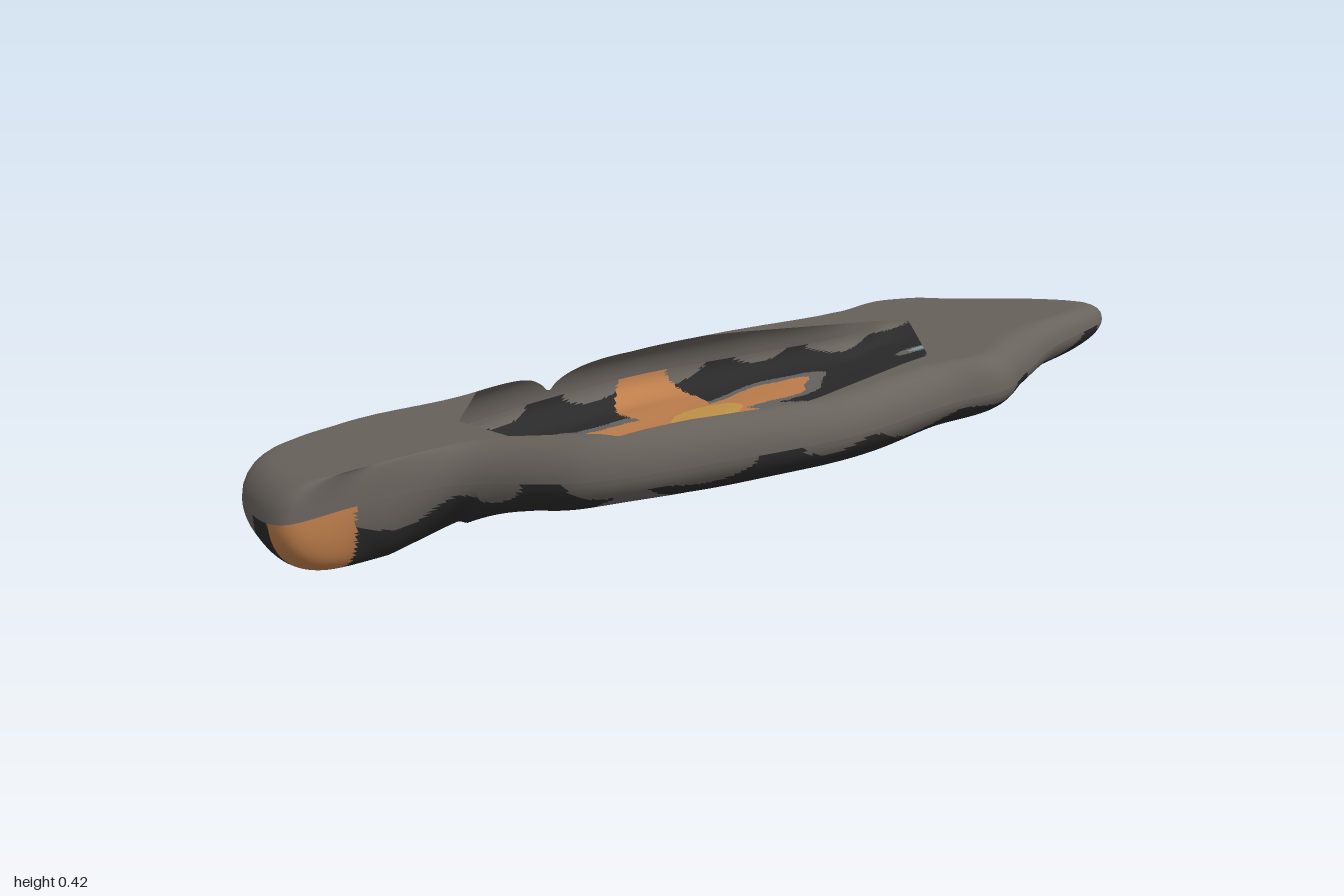
import * as THREE from 'three';

const COLORS = {
  stoneGrey: 0x69635d, black: 0x2a2a2a, haloGrey: 0x666462, petalOrange: 0xbf7f4c, gold: 0xc4964a,
  leafGreen: 0x265c48, lemon: 0xc0aa50, paleBlue: 0x7b9cab, deepBlue: 0x2a4876,
};

// plan outline (x, z), clockwise seen from above, starting at the -x end
const OUTLINE = [
  [-1, -.1], [-.94, -.34], [-.74, -.44], [-.52, -.41], [-.25, -.49], [.05, -.53], [.33, -.46], [.56, -.41],
  [.74, -.5], [.82, -.47], [.87, -.35], [.97, -.15], [1, .02], [.95, .1], [.72, .23], [.54, .38],
  [.42, .475], [.3, .47], [.03, .52], [-.22, .46], [-.45, .36], [-.65, .115], [-.83, .09], [-.97, .1],
];
// angular opening in the upper shell
const HOLE = [
  [-.2, -.5], [.16, -.455], [.545, -.1], [.325, .33], [-.035, .455],
  [-.385, .355], [-.53, .145], [-.55, -.11], [-.42, -.375],
];
// shell thickness above and below the tilted mid plane, from x = -1 to 1
const TOP = [.075, .075, .08, .085, .075, .08, .075, .055, .04];
const BOTTOM = [.135, .135, .075, .065, .065, .06, .05, .055, .05];

const AROUND = 480;
const along = (table, x) => {
  const f = THREE.MathUtils.clamp((x + 1) * 4, 0, 7.999), i = Math.floor(f);
  return THREE.MathUtils.lerp(table[i], table[i + 1], f - i);
};
const midY = (x, z) => .27 + .115 * x + .1 * z;
const round = (d, r) => Math.sqrt(1 - (1 - Math.min(d / r, 1)) ** 2);
const ripple = (x, z) => .003 * Math.sin(17 * x + 5 * z) * Math.sin(19 * z - 4 * x);

// painted areas; earlier ones lie on top of later ones
const paint = [];
function spot(part, color, cx, cz, rx, rz, turn = 0, halo = 0, wavy = 0) {
  const c = Math.cos(turn), s = Math.sin(turn);
  // approximate signed distance to an ellipse, optionally with a scalloped edge
  const distance = (x, z) => {
    const u = ((x - cx) * c + (z - cz) * s) / rx, v = ((z - cz) * c - (x - cx) * s) / rz;
    const rim = 1 + wavy * Math.cos(5 * Math.atan2(v, u));
    return (Math.hypot(u, v) - rim) * Math.min(rx, rz);
  };
  paint.push({ part, color, distance, halo });
}

// large flower
spot('flowerCentre', 'gold', .08, -.215, .085, .075);
const petal = (...place) => spot('flowerPetals', 'petalOrange', ...place);
petal(.05, -.4, .1, .16);
petal(.24, -.255, .14, .085, -.25, .03, .1);
petal(-.1, -.215, .18, .105, .05, .045, .1);
petal(.11, -.04, .1, .16, -.1, .048, .12);

// spots on the -x lobe and beside the flower
spot('endSpot', 'petalOrange', -.92, .085, .09, .06);
spot('blueSpot', 'deepBlue', -.87, -.27, .11, .1);
const pale = (...place) => spot('paleBlueSpots', 'paleBlue', ...place);
pale(-.76, -.31, .09, .09, 0, .01);
pale(-.84, -.08, .06, .05, 0, .03);
pale(-.23, -.09, .07, .045, .2, .03);
pale(-.25, -.33, .025, .025, 0, .035);
pale(-.44, -.215, .05, .04, 0, .005);
pale(-.43, -.105, .075, .05, .2, .012);
const grey = (...place) => spot('haloGreySpots', 'haloGrey', ...place);
grey(-.44, -.34, .05, .035);
grey(-.5, -.03, .05, .06);
grey(-.53, .085, .035, .035);

// leaves and buds
const leaf = (...place) => spot('leaves', 'leafGreen', ...place);
leaf(-.26, .165, .1, .045, .15);
leaf(-.09, .315, .035, .085, -.15);
leaf(.55, .08, .1, .055, -.7);
spot('yellowBud', 'lemon', -.25, .275, .115, .055, -.55, .035, .08);
spot('goldBud', 'gold', .39, .25, .06, .11, .45, .02);

// row of small petals near the +x end
for (let i = 0; i < 5; i++) pale(.86 - i * .035, .01 - i * .08, .045, .015, -.3, .014);

function paintAt(x, z, edge, a) {
  const hit = paint.find((p) => p.distance(x, z) < 0);
  if (hit) return [hit.part, hit.color];
  const wave = .008 + .008 * Math.sin(a * 9) + .007 * Math.sin(a * 23 + 1);
  if (edge < wave) return ['rimEdge', 'stoneGrey'];
  if (paint.some((p) => p.halo && p.distance(x, z) < p.halo)) return ['haloGreySpots', 'haloGrey'];
  return ['lowerShell', 'black'];
}

// where a ray from the middle towards p meets the opening
function holePoint(p) {
  const cz = -.03;
  let best = [0, cz];
  HOLE.forEach(([ax, az], i) => {
    const [bx, bz] = HOLE[(i + 1) % HOLE.length], ex = bx - ax, ez = bz - az;
    const dx = p.x, dz = p.z - cz, det = dx * ez - dz * ex;
    const t = (ax * ez - (az - cz) * ex) / det, u = (ax * dz - (az - cz) * dx) / det;
    if (t > 0 && u >= -1e-6 && u <= 1 + 1e-6) best = [dx * t, cz + dz * t];
  });
  return best;
}

// rings running from the outline inwards to a target curve
function shellRings(outline, target, rings, height) {
  const pos = [], edge = [], faces = [];
  for (let j = 0; j <= rings; j++) {
    const t = (j / rings) ** 1.6;
    outline.forEach((p) => {
      const [tx, tz] = target(p);
      const x = p.x + (tx - p.x) * t, z = p.z + (tz - p.z) * t;
      const d = t * Math.hypot(tx - p.x, tz - p.z);
      pos.push(x, height(x, z, d), z);
      edge.push(d);
    });
  }
  for (let j = 0; j < rings; j++) for (let i = 0; i < AROUND; i++) {
    const a = j * AROUND + i, b = j * AROUND + (i + 1) % AROUND;
    faces.push([a, b, a + AROUND], [b, b + AROUND, a + AROUND]);
  }
  const geometry = new THREE.BufferGeometry();
  geometry.setAttribute('position', new THREE.Float32BufferAttribute(pos, 3));
  return { geometry, faces, pos, edge };
}

export function createModel() {
  const group = new THREE.Group();
  const materials = {};
  for (const [name, color] of Object.entries(COLORS)) {
    materials[name] = new THREE.MeshStandardMaterial({ color, side: THREE.DoubleSide });
    materials[name].name = name;
  }
  const add = (name, geometry, color) => {
    const mesh = new THREE.Mesh(geometry, materials[color]);
    mesh.name = name;
    group.add(mesh);
  };
  const curve = new THREE.CatmullRomCurve3(OUTLINE.map(([x, z]) => new THREE.Vector3(x, 0, z)), true);
  const outline = curve.getSpacedPoints(AROUND).slice(0, AROUND);

  // upper shell with the opening
  const top = shellRings(outline, holePoint, 20,
    (x, z, d) => midY(x, z) + along(TOP, x) * round(d, .07));
  top.geometry.setIndex(top.faces.flatMap(([a, b, c]) => [a, c, b]));
  top.geometry.computeVertexNormals();
  add('upperShell', top.geometry, 'stoneGrey');

  // lower shell, closing along a central spine
  const low = shellRings(outline, (p) => [p.x * .6, -.15 * p.x * p.x], 56,
    (x, z, d) => midY(x, z) - along(BOTTOM, x) * round(d, x < -.6 ? .15 : .09) + ripple(x, z) * round(d, .1));
  low.geometry.setIndex(low.faces.flat());
  low.geometry.computeVertexNormals();

  // split the lower shell into its painted parts
  const parts = new Map();
  for (const f of low.faces) {
    const mean = (k) => f.reduce((s, v) => s + low.pos[v * 3 + k], 0) / 3;
    const edge = f.reduce((s, v) => s + low.edge[v], 0) / 3;
    const [name, color] = paintAt(mean(0), mean(2), edge, (f[0] % AROUND) / AROUND * Math.PI * 2);
    if (!parts.has(name)) parts.set(name, { color, index: [] });
    parts.get(name).index.push(...f);
  }
  for (const [name, { color, index }] of parts) {
    const geometry = new THREE.BufferGeometry();
    geometry.setAttribute('position', low.geometry.attributes.position);
    geometry.setAttribute('normal', low.geometry.attributes.normal);
    geometry.setIndex(index);
    add(name, geometry, color);
  }
  return group;
}
